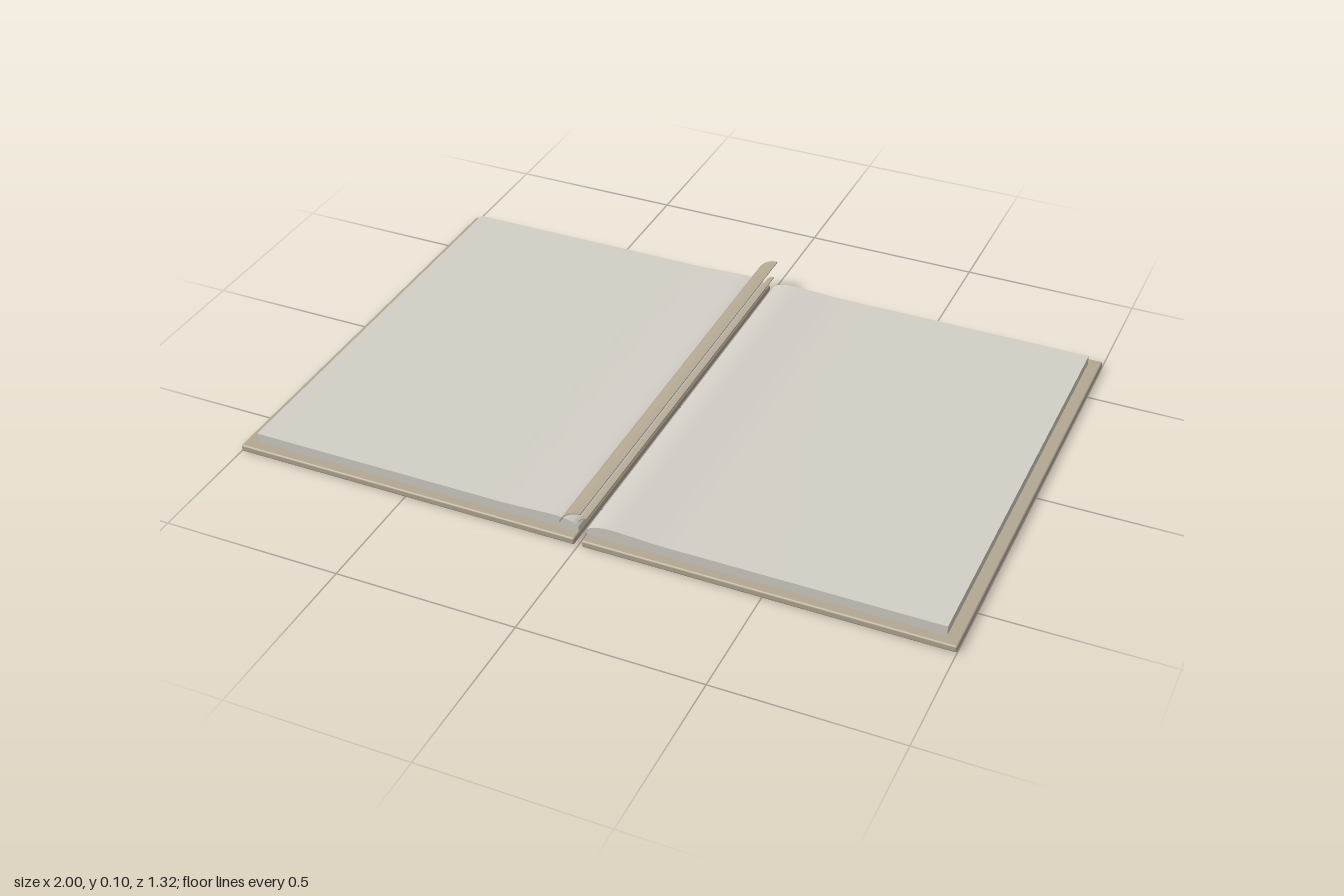
import * as THREE from 'three';
import { toCreasedNormals } from 'three/addons/utils/BufferGeometryUtils.js';
import { RoundedBoxGeometry } from 'three/addons/geometries/RoundedBoxGeometry.js';

const COVER_DEPTH = 1.32, PAGE_DEPTH = 1.26;

export function createModel() {
  const book = new THREE.Group();
  book.name = 'openBook';
  const cover = new THREE.MeshStandardMaterial({ name: 'tan cover', color: 0xb3a792 });
  const paper = new THREE.MeshStandardMaterial({ name: 'pale grey paper', color: 0xd3cfc7 });

  const add = (name, geometry, material) => {
    const mesh = new THREE.Mesh(geometry, material);
    mesh.name = name;
    book.add(mesh);
    return mesh;
  };

  // Extrude a closed outline along z, centred
  const extrude = (points, depth) => {
    const shape = new THREE.Shape(points);
    const geo = new THREE.ExtrudeGeometry(shape, { depth, bevelEnabled: false });
    geo.translate(0, 0, -depth / 2);
    return toCreasedNormals(geo, 0.6);
  };

  // Quarter-round strip, open towards +x
  const arcStrip = (cx, cy, radius, thickness, depth) => {
    const outer = [], inner = [], steps = 16;
    for (let i = 0; i <= steps; i++) {
      const a = Math.PI / 2 + (i / steps) * 1.2;
      const c = Math.cos(a), s = Math.sin(a), r = radius - thickness;
      outer.push(new THREE.Vector2(cx + c * radius, cy + s * radius));
      inner.unshift(new THREE.Vector2(cx + c * r, cy + s * r));
    }
    return extrude([...outer, ...inner], depth);
  };

  for (const [side, s] of [['left', 1], ['right', -1]]) {
    // Cover boards with softened edges
    const board = new RoundedBoxGeometry(0.99, 0.02, COVER_DEPTH, 2, 0.005);
    add(side + 'Cover', board.translate(s * 0.505, 0.01, 0), cover);

    // Page block, swelling gently beside the gutter
    const swell = new THREE.SplineCurve([
      [0.012, 0.036], [0.03, 0.047], [0.07, 0.054], [0.13, 0.052], [0.22, 0.048], [0.3, 0.048],
    ].map(([x, y]) => new THREE.Vector2(s * x, y))).getPoints(24);
    const outline = [
      new THREE.Vector2(s * 0.012, 0.02), ...swell,
      new THREE.Vector2(s * 0.965, 0.048), new THREE.Vector2(s * 0.965, 0.02),
    ];
    add(side + 'Pages', extrude(outline, PAGE_DEPTH), paper);
  }

  // Curved spine and the inner binding strip beneath it
  add('spine', arcStrip(0.01, 0.04, 0.065, 0.003, COVER_DEPTH), cover);
  add('bindingStrip', arcStrip(0.012, 0.043, 0.026, 0.003, PAGE_DEPTH), cover);

  return book;
}
